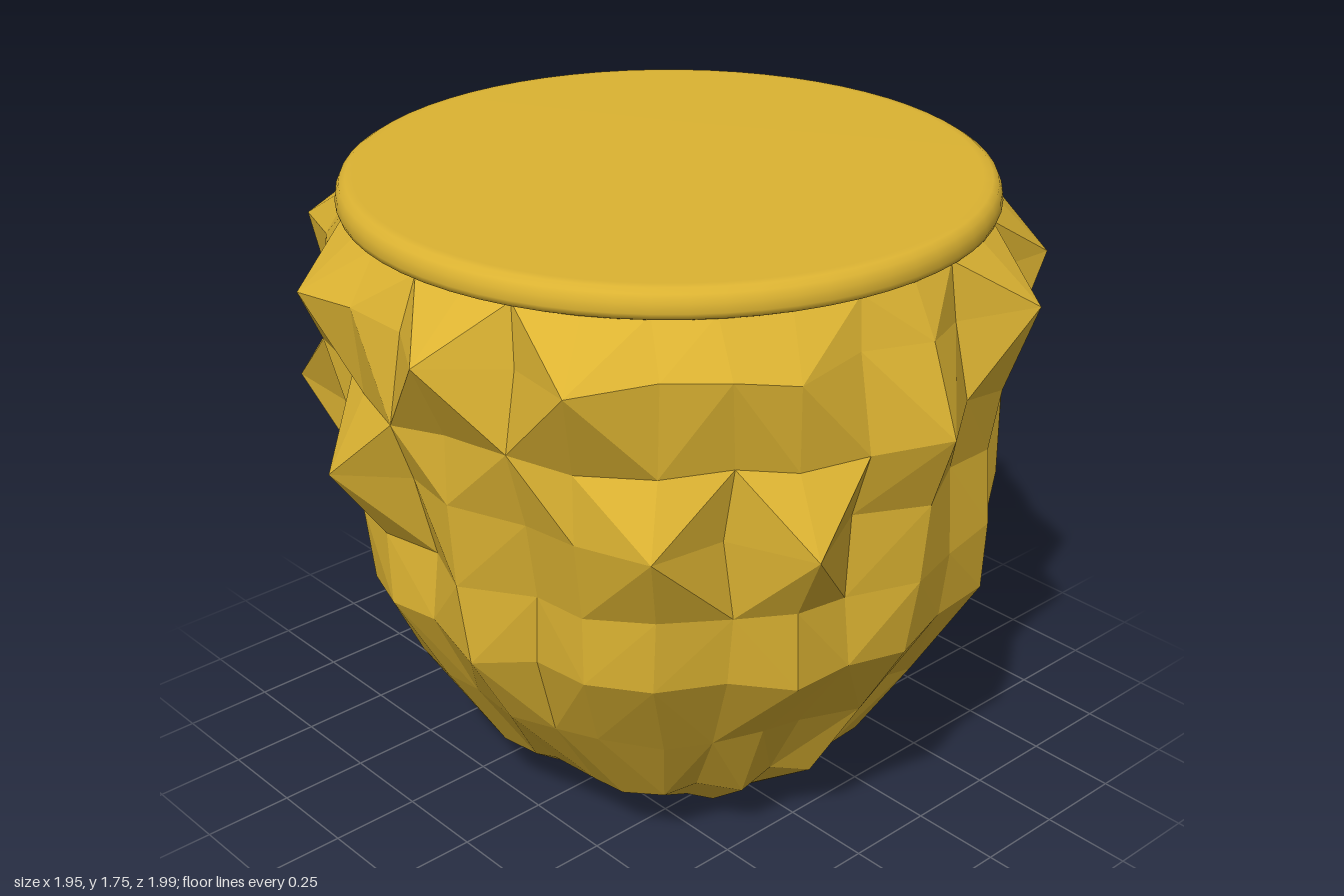
import * as THREE from 'three';

const SEGMENTS = 32;

// Rings of the pot from the foot up: height, radius along x, radius along z,
// roughness, and how strongly the upright ribs show
const RINGS = [
  [0.025, 0.29, 0.31, 0.025, 0.4],
  [0.205, 0.51, 0.54, 0.02, 0.4],
  [0.47, 0.695, 0.70, 0.02, 0.4],
  [0.725, 0.815, 0.87, 0.02, 0.4],
  [0.935, 0.815, 0.885, 0.02, 0.5],
  [1.14, 0.85, 0.87, 0.02, 0.5],
  [1.335, 0.845, 0.875, 0.02, 0.5],
  [1.565, 0.875, 0.89, 0.02, 0.5],
  [1.70, 0.82, 0.82, 0.005, 0],
];

// For each rib round the pot: how far its boldest bump reaches, and the ring it sits on
const RIB_MEAN = 0.945;
const BUMP_RADIUS = [
  0.88, 0.99, 0.88, 0.92, 0.97, 0.88, 0.99, 0.89, 0.99, 0.90, 1.01, 0.92, 1.00, 1.00, 0.90, 1.00,
  0.91, 0.99, 0.98, 0.91, 1.00, 1.01, 0.90, 1.02, 0.99, 0.99, 0.93, 0.95, 0.94, 0.88, 0.97, 0.97,
];
const BUMP_RING = [
  7, 7, 6, 5, 7, 6, 7, 6, 6, 6, 5, 7, 5, 7, 6, 7,
  6, 5, 7, 6, 5, 7, 6, 7, 6, 7, 5, 7, 6, 7, 5, 5,
];

function seededNoise(seed) {
  let s = seed;
  return () => {
    s = (s * 16807) % 2147483647;
    return (s / 2147483647) * 2 - 1;
  };
}

// Closed, faceted body with a fan under the foot
function hammeredPot() {
  const noise = seededNoise(4711);
  const positions = [];
  const index = [];

  RINGS.forEach(([y, rx, rz, rough, ribbing], i) => {
    for (let j = 0; j < SEGMENTS; j++) {
      const bump = BUMP_RING[j] === i;
      const angle = (j / SEGMENTS) * Math.PI * 2 + (bump ? 0 : noise() * 0.025);
      const c = Math.cos(angle);
      const s = Math.sin(angle);
      const rib = ribbing * (BUMP_RADIUS[j] - RIB_MEAN);
      const radius = bump ? BUMP_RADIUS[j] : Math.hypot(rx * c, rz * s) + rib + noise() * rough;
      // the foot lifts a little on its left and right sides
      const lift = i === 0 ? 0.03 * c * c : 0;
      positions.push(radius * c, Math.max(0, y + lift + noise() * rough), radius * s);
    }
  });

  const foot = positions.length / 3;
  positions.push(0, 0.04, 0);
  const rim = foot + 1;
  positions.push(0, 1.70, 0);
  const top = (RINGS.length - 1) * SEGMENTS;

  // distance from the axis to the middle of an edge
  const reach = (p, q) => Math.hypot(
    positions[3 * p] + positions[3 * q],
    positions[3 * p + 2] + positions[3 * q + 2],
  );

  for (let j = 0; j < SEGMENTS; j++) {
    const k = (j + 1) % SEGMENTS;
    index.push(foot, j, k);
    index.push(rim, top + k, top + j);
    for (let i = 0; i < RINGS.length - 1; i++) {
      const a = i * SEGMENTS + j;
      const b = i * SEGMENTS + k;
      const c = a + SEGMENTS;
      const d = b + SEGMENTS;
      // split each facet along its outward fold
      if (reach(b, c) > reach(a, d)) index.push(a, c, b, b, c, d);
      else index.push(a, c, d, a, d, b);
    }
  }

  const indexed = new THREE.BufferGeometry();
  indexed.setAttribute('position', new THREE.Float32BufferAttribute(positions, 3));
  indexed.setIndex(index);
  const geometry = indexed.toNonIndexed();
  geometry.computeVertexNormals();
  return geometry;
}

// Thin round lid with a softly rolled edge
function lidGeometry() {
  const profile = [
    [0, 1.69], [0.83, 1.69], [0.845, 1.697], [0.85, 1.712],
    [0.847, 1.735], [0.838, 1.755], [0.822, 1.765], [0.80, 1.767], [0, 1.767],
  ].map(([r, y]) => new THREE.Vector2(r, y));
  return new THREE.LatheGeometry(profile, 64);
}

export function createModel() {
  const group = new THREE.Group();
  group.name = 'hammeredDrum';

  const gold = new THREE.MeshStandardMaterial({ color: 0xdcb332 });
  gold.name = 'gold';

  const body = new THREE.Mesh(hammeredPot(), gold);
  body.name = 'body';

  const lid = new THREE.Mesh(lidGeometry(), gold);
  lid.name = 'lid';
  lid.position.z = -0.01;

  group.add(body, lid);
  return group;
}
